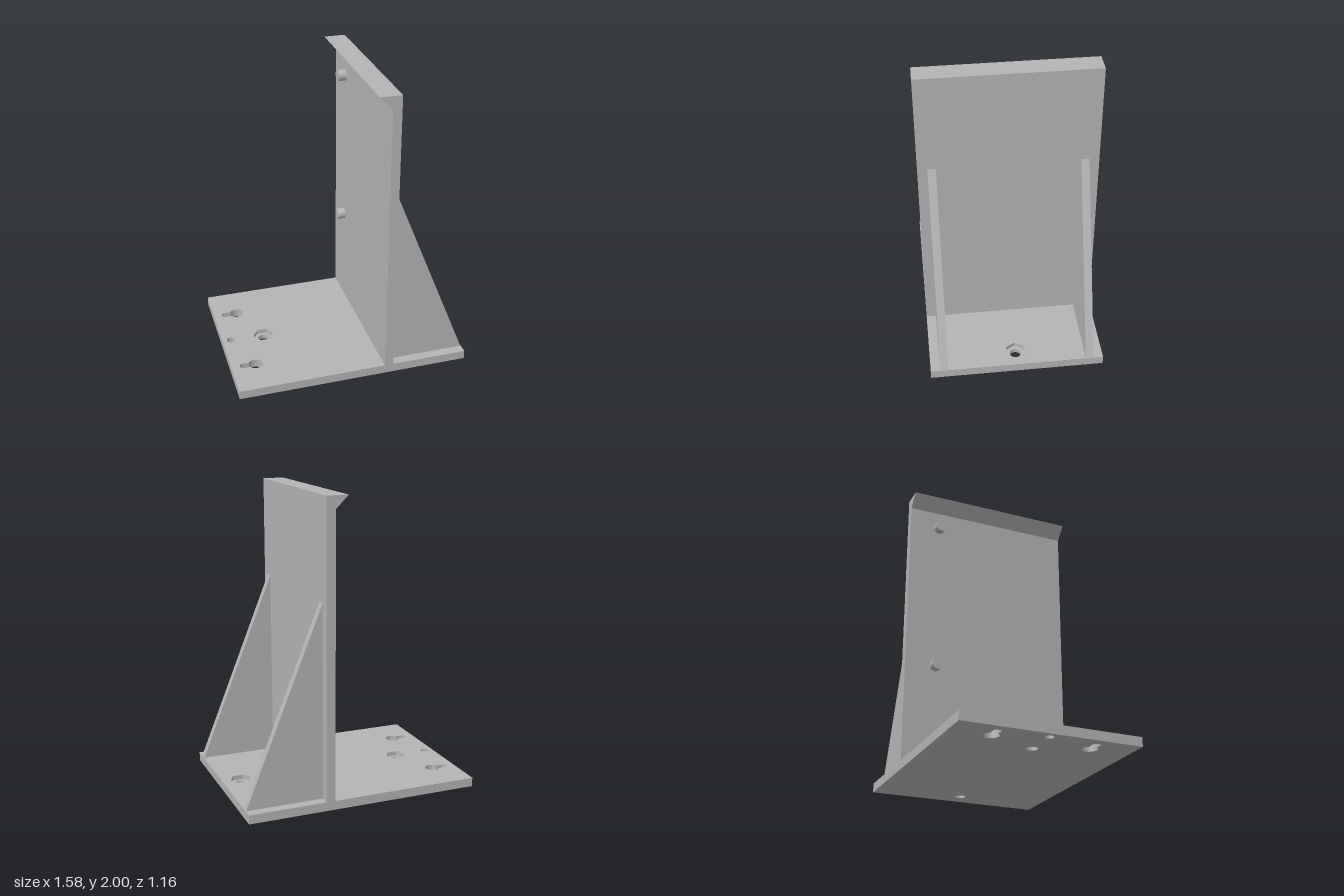
import * as THREE from 'three';

const BASE_TOP = 0.06;
const HALF_X = 0.788, HALF_Z = 0.58;
const WALL_FRONT = 0.21, WALL_BACK = 0.27;

function circleHole(x, z, r) {
  return new THREE.Path().absarc(x, z, r, 0, Math.PI * 2, false);
}

function hexHole(x, z, r) {
  const pts = [];
  for (let i = 0; i < 6; i++) {
    const a = i * Math.PI / 3;
    pts.push(new THREE.Vector2(x + r * Math.cos(a), z + r * Math.sin(a)));
  }
  return new THREE.Path(pts);
}

// Round opening that runs into a narrow slot towards -x
function keyHole(x, z) {
  const r = 0.048, slot = 0.025;
  const a = Math.PI - Math.asin(slot / r);
  const path = new THREE.Path();
  path.absarc(x, z, r, -a, a, false);
  path.absarc(-0.705, z, slot, Math.PI / 2, Math.PI * 1.5, false);
  path.closePath();
  return path;
}

function polygon(points) {
  return new THREE.Shape(points.map(([x, y]) => new THREE.Vector2(x, y)));
}

export function createModel() {
  const group = new THREE.Group();
  const grey = new THREE.MeshStandardMaterial({ color: 0xb4b4b4 });
  grey.name = 'light grey';

  function add(name, geometry) {
    const mesh = new THREE.Mesh(geometry, grey);
    mesh.name = name;
    group.add(mesh);
    return mesh;
  }

  // Extrude a side profile along z, centred on the given z
  function sideExtrude(name, points, width, z) {
    const g = new THREE.ExtrudeGeometry(polygon(points), { depth: width, bevelEnabled: false });
    g.translate(0, 0, z - width / 2);
    return add(name, g);
  }

  // Base plate in two layers: bolt holes below, hexagonal nut pockets above
  const boltXs = [-0.495, 0.66];
  function baseLayer(name, y, height, boltHole) {
    const s = polygon([[-HALF_X, -HALF_Z], [HALF_X, -HALF_Z], [HALF_X, HALF_Z], [-HALF_X, HALF_Z]]);
    s.holes.push(circleHole(-0.728, 0, 0.028));
    for (const side of [-1, 1]) s.holes.push(keyHole(-0.623, side * 0.316));
    for (const x of boltXs) s.holes.push(boltHole(x));
    const g = new THREE.ExtrudeGeometry(s, { depth: height, bevelEnabled: false, curveSegments: 20 });
    g.rotateX(-Math.PI / 2);
    g.translate(0, y, 0);
    add(name, g);
  }
  baseLayer('basePlateLower', 0, BASE_TOP / 2, x => circleHole(x, 0, 0.037));
  baseLayer('basePlateUpper', BASE_TOP / 2, BASE_TOP / 2, x => hexHole(x, 0, 0.07));

  // Upright wall with a sloping lip along its top edge
  sideExtrude('uprightWall', [
    [WALL_FRONT, BASE_TOP], [WALL_BACK, BASE_TOP], [WALL_BACK, 2],
    [0.127, 2], [WALL_FRONT, 1.917],
  ], HALF_Z * 2, 0);

  // Triangular braces behind the wall
  for (const side of [-1, 1]) {
    sideExtrude(side > 0 ? 'frontBrace' : 'backBrace', [
      [WALL_BACK, BASE_TOP], [0.785, BASE_TOP], [WALL_BACK, 1.34],
    ], 0.053, side * 0.489);
  }

  // Locating pegs on the wall
  for (const [name, y] of [['lowerPeg', 0.738], ['upperPeg', 1.792]]) {
    const g = new THREE.CylinderGeometry(0.038, 0.038, 0.055, 32);
    g.rotateZ(Math.PI / 2);
    add(name, g).position.set(WALL_FRONT - 0.0275, y, -0.37);
  }

  return group;
}
